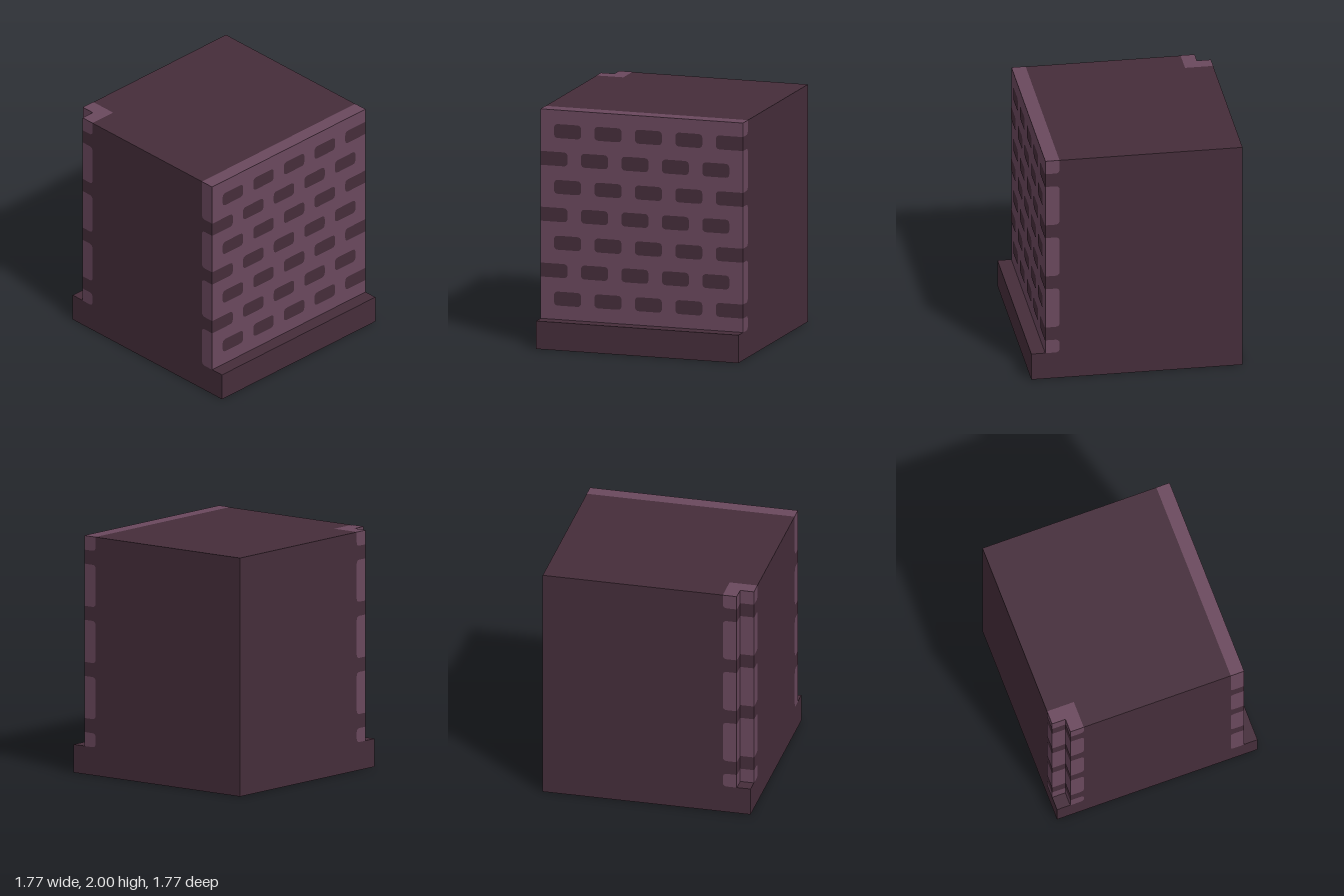
import * as THREE from 'three';

const U = 2 / 17;      // one grid cell
const LIFT = 0.002;    // paint layer thickness
const R = 0.3 * U;     // corner rounding

const dark = new THREE.MeshStandardMaterial({ color: 0x452d3a });
dark.name = 'dark plum';
const light = new THREE.MeshStandardMaterial({ color: 0x6a485d });
light.name = 'light plum';

// Rectangle in grid cells; each corner radius can be zero (bl, br, tr, tl)
function panelShape(x0, y0, x1, y1, [bl, br, tr, tl]) {
  const [l, b, r, t] = [x0 * U, y0 * U, x1 * U, y1 * U];
  const s = new THREE.Shape();
  s.moveTo(l + bl, b);
  s.lineTo(r - br, b);
  if (br) s.quadraticCurveTo(r, b, r, b + br);
  s.lineTo(r, t - tr);
  if (tr) s.quadraticCurveTo(r, t, r - tr, t);
  s.lineTo(l + tl, t);
  if (tl) s.quadraticCurveTo(l, t, l, t - tl);
  s.lineTo(l, b + bl);
  if (bl) s.quadraticCurveTo(l, b, l + bl, b);
  return s;
}

const polygon = (pts) =>
  new THREE.Shape(pts.map(([x, y]) => new THREE.Vector2(x * U, y * U)));

export function createModel() {
  const model = new THREE.Group();

  const add = (name, geometry, material, parent = model) => {
    const mesh = new THREE.Mesh(geometry, material);
    mesh.name = name;
    parent.add(mesh);
    return mesh;
  };

  // Base slab
  add('base', new THREE.BoxGeometry(15 * U, 2 * U, 15 * U).translate(0, U, 0), dark);

  // Upper block with one back corner cut out
  const plan = polygon([[-7.5, -6.5], [7.5, -6.5], [7.5, 7.5], [-6.5, 7.5], [-6.5, 6.5], [-7.5, 6.5]]);
  const block = new THREE.ExtrudeGeometry(plan, { depth: 15 * U, bevelEnabled: false });
  block.rotateX(-Math.PI / 2).translate(0, 2 * U, 0);
  add('wallBlock', block, dark);

  // Mortar face on the front
  const front = new THREE.Group();
  front.name = 'brickFace';
  front.position.z = 6.5 * U + LIFT;
  model.add(front);
  add('mortar', new THREE.ShapeGeometry(panelShape(-7.5, 2, 7.5, 17, [0, 0, 0, 0])), light, front);

  // Staggered bricks, square where they run into a side edge
  for (let row = 0; row < 7; row++) {
    for (let col = 0; col < 5; col++) {
      const x = (row % 2 ? -7.5 : -6.5) + col * 3;
      const y = 3 + row * 2;
      const l = x === -7.5 ? 0 : R;
      const r = x + 2 === 7.5 ? 0 : R;
      add('brick', new THREE.ShapeGeometry(panelShape(x, y, x + 2, y + 1, [l, r, r, l]), 4), dark, front)
        .position.z = LIFT;
    }
  }

  // Mortar strips turning round the edges, broken at the brick rows
  const rowsA = [[2, 3], [4, 7], [8, 11], [12, 15], [16, 17]];
  const rowsB = [[2, 5], [6, 9], [10, 13], [14, 17]];
  function strip(name, rows, x0, dist, angle, l, r) {
    const group = new THREE.Group();
    group.name = name;
    group.rotation.y = angle;
    model.add(group);
    for (const [y0, y1] of rows) {
      const top = y1 === 17 ? 0 : 1;
      const shape = panelShape(x0, y0, x0 + 1, y1, [l, r, r * top, l * top]);
      add('mortarStrip', new THREE.ShapeGeometry(shape, 4), light, group).position.z = dist * U + LIFT;
    }
  }
  const Q = Math.PI / 2;
  strip('leftFrontEdge', rowsA, -6.5, 7.5, Q, 0, R);
  strip('rightFrontEdge', rowsB, 5.5, 7.5, -Q, R, 0);
  strip('notchSideEdge', rowsA, -6.5, 7.5, -Q, 0, R);
  strip('notchBackEdge', rowsA, 5.5, 7.5, Math.PI, R, 0);
  strip('notchInnerSide', rowsA, -7.5, 6.5, -Q, 0, 0);
  strip('notchInnerBack', rowsA, 6.5, 6.5, Math.PI, 0, 0);

  // Mortar showing on the top
  const tops = {
    frontTopStrip: polygon([[-7.5, -6.5], [7.5, -6.5], [7.5, -5.5], [-7.5, -5.5]]),
    notchTopStrip: polygon([[-7.5, 5.5], [-5.5, 5.5], [-5.5, 7.5], [-6.5, 7.5], [-6.5, 6.5], [-7.5, 6.5]]),
  };
  for (const [name, shape] of Object.entries(tops)) {
    add(name, new THREE.ShapeGeometry(shape).rotateX(-Q), light).position.y = 2 + LIFT;
  }

  return model;
}
